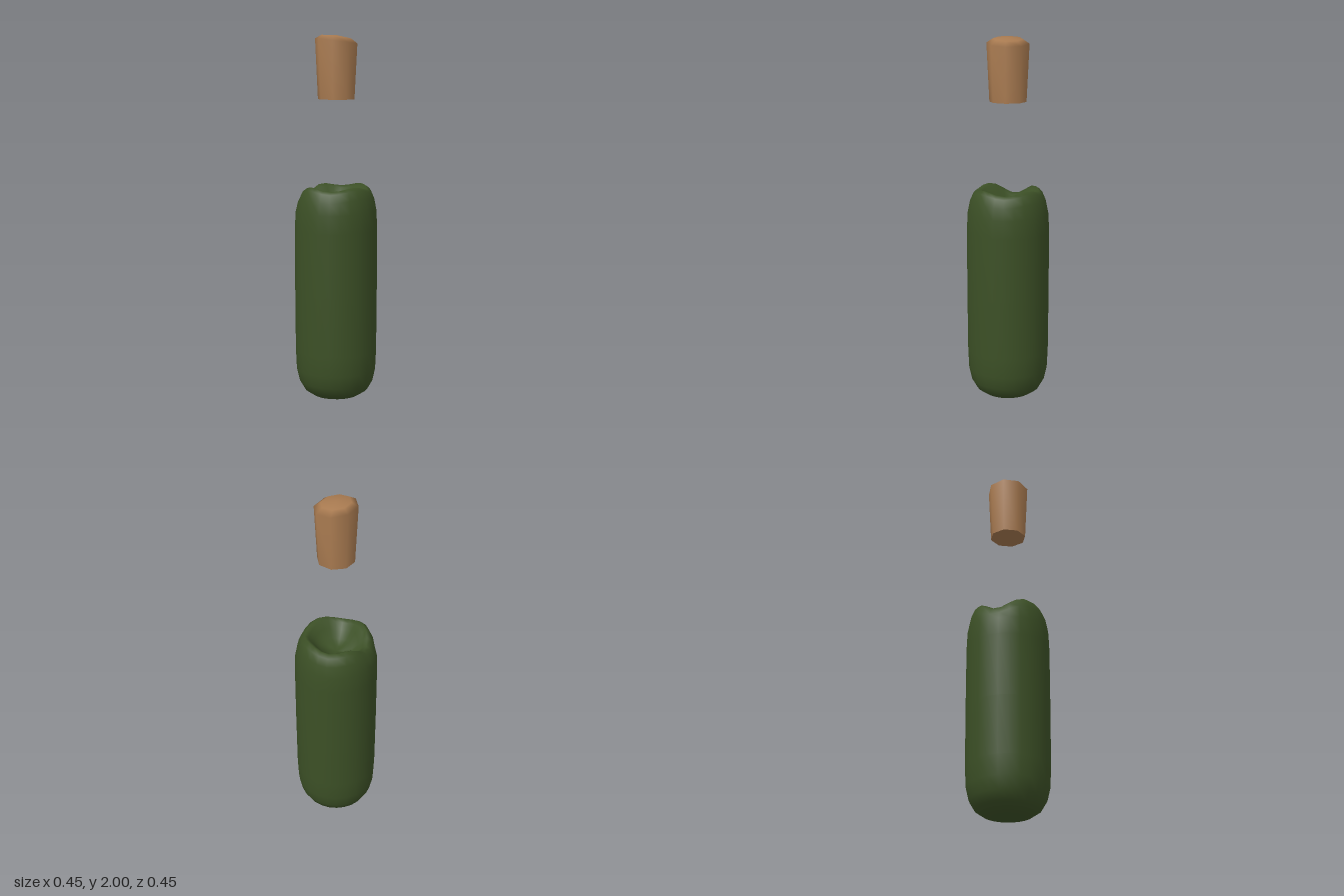
import * as THREE from 'three';
import { mergeVertices } from 'three/addons/utils/BufferGeometryUtils.js';

const glass = new THREE.MeshStandardMaterial({ color: 0x3c5026 });
glass.name = 'bottleGreen';
const corkBrown = new THREE.MeshStandardMaterial({ color: 0xa87a50 });
corkBrown.name = 'corkBrown';

// Lathe a profile, shift its vertices by a rule, then weld it for smooth normals
function turned(profile, sides, rule) {
  const lathe = new THREE.LatheGeometry(profile.map(([r, y]) => new THREE.Vector2(r, y)), sides);
  lathe.deleteAttribute('uv');
  lathe.deleteAttribute('normal');
  const p = lathe.attributes.position;
  for (let i = 0; i < p.count; i++) {
    const x = p.getX(i), y = p.getY(i), z = p.getZ(i);
    p.setY(i, y + rule(x, y, z));
  }
  const geometry = mergeVertices(lathe, 1e-4);
  geometry.computeVertexNormals();
  return geometry;
}

// Wavy broken rim, with one low notch at the front of the -x side
function rimOffset(x, y, z) {
  const r = Math.hypot(x, z);
  if (y < 1 || r < 0.01) return 0;
  const angle = Math.atan2(z, x);
  const d = Math.abs(angle - 2.55);
  const away = Math.min(d, 2 * Math.PI - d);
  const notch = 0.045 * Math.exp(-((away / 0.5) ** 2));
  const weight = THREE.MathUtils.smoothstep(y, 1.0, 1.16) * Math.min(1, r / 0.13);
  return weight * (0.01 * Math.cos(4 * angle) - notch);
}

export function createModel() {
  const model = new THREE.Group();

  // Body: rounded base, straight wall, shoulder and sunken top
  const body = new THREE.Mesh(turned([
    [0, 0], [0.07, 0.006], [0.13, 0.022], [0.175, 0.052], [0.203, 0.1], [0.219, 0.17], [0.224, 0.28],
    [0.226, 0.6], [0.226, 0.95], [0.222, 1.05], [0.209, 1.12], [0.19, 1.165], [0.168, 1.18],
    [0.147, 1.167], [0.122, 1.135], [0.085, 1.095], [0.04, 1.075], [0, 1.07],
  ], 24, rimOffset), glass);
  body.name = 'bottleBody';

  // Cork: tapered eight-sided plug with a slightly tilted, bevelled top
  const tilt = (x, y, z) => (y > 1.9 ? 0.1 * z - 0.07 * x : 0);
  const cork = new THREE.Group();
  cork.name = 'cork';
  const plug = new THREE.Mesh(turned([
    [0.1, 1.655], [0.115, 1.965], [0.08, 1.988], [0, 1.996],
  ], 8, tilt), corkBrown);
  plug.name = 'corkPlug';
  const base = new THREE.Mesh(new THREE.CircleGeometry(0.1, 8).rotateX(Math.PI / 2), corkBrown);
  base.name = 'corkBase';
  base.position.y = 1.655;
  cork.add(plug, base);

  model.add(body, cork);
  return model;
}
